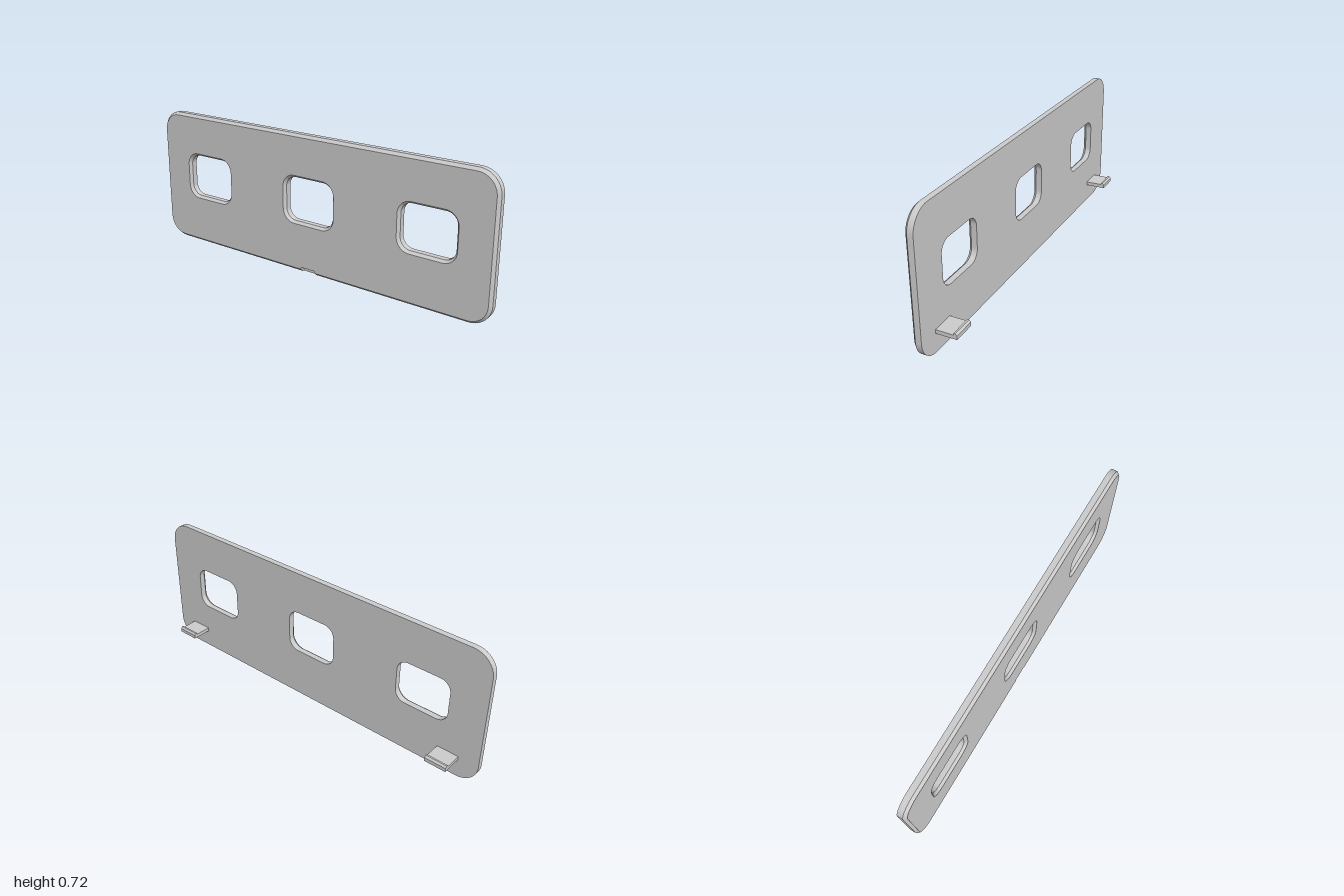
import * as THREE from 'three';
import { mergeGeometries, toCreasedNormals } from 'three/addons/utils/BufferGeometryUtils.js';

const BACK = 0.031, NOTCH = 0.053, EDGE = 0.061, FRONT = 0.076;
const HEIGHT = 0.722, MID = 0.361, CHAMFER = 0.014;

// Counter-clockwise rounded rectangle, starting at the bottom left corner's end
function roundedRect(cx, cy, hw, hh, r, steps = 10) {
  const points = [];
  const corners = [[1, -1], [1, 1], [-1, 1], [-1, -1]];
  corners.forEach(([sx, sy], c) => {
    for (let i = 0; i <= steps; i++) {
      const a = (c - 1 + i / steps) * Math.PI / 2;
      points.push(new THREE.Vector2(
        cx + sx * (hw - r) + r * Math.cos(a),
        cy + sy * (hh - r) + r * Math.sin(a)));
    }
  });
  return points;
}

// Plate outline with a small notch in the middle of the bottom edge
function outline(inset, notchTop) {
  const notch = [[-0.043, inset], [-0.043, notchTop], [0.043, notchTop], [0.043, inset]];
  return [
    ...notch.map(([x, y]) => new THREE.Vector2(x, y)),
    ...roundedRect(0, MID, 1 - inset, MID - inset, 0.11 - inset),
  ];
}

// Window outline, grown by the front chamfer
const windowLoop = (x, grow) =>
  roundedRect(x, 0.383, 0.144 + grow, 0.115 + grow, 0.058 + grow).reverse();

// Wall between two matching loops at two depths
function loft(a, za, b, zb) {
  const pos = [];
  for (let i = 0; i < a.length; i++) {
    const j = (i + 1) % a.length;
    if (a[i].distanceTo(a[j]) < 1e-6 && b[i].distanceTo(b[j]) < 1e-6) continue;
    const p = [a[i].x, a[i].y, za], q = [a[j].x, a[j].y, za];
    const r = [b[j].x, b[j].y, zb], s = [b[i].x, b[i].y, zb];
    pos.push(...p, ...q, ...r, ...p, ...r, ...s);
  }
  const g = new THREE.BufferGeometry();
  g.setAttribute('position', new THREE.Float32BufferAttribute(pos, 3));
  return toCreasedNormals(g, 0.6);
}

// Flat face with the window openings
function face(loop, holes) {
  const shape = new THREE.Shape(loop);
  shape.holes = holes.map(h => new THREE.Path(h));
  const g = new THREE.ShapeGeometry(shape).toNonIndexed();
  g.deleteAttribute('uv');
  return g;
}

function plateGeometry() {
  const xs = [-0.668, 0, 0.668];
  const inner = xs.map(x => windowLoop(x, 0));
  const outer = xs.map(x => windowLoop(x, 0.012));
  const plain = outline(0, 0), notched = outline(0, 0.025), front = outline(CHAMFER, 0.025);
  const notchWall = new THREE.PlaneGeometry(0.086, 0.025).toNonIndexed();
  notchWall.deleteAttribute('uv');
  const parts = [
    face(roundedRect(0, MID, 1, MID, 0.11), inner).rotateY(Math.PI).translate(0, 0, BACK),
    face(front, outer).translate(0, 0, FRONT),
    loft(plain, BACK, plain, NOTCH),
    loft(notched, NOTCH, notched, EDGE),
    loft(notched, EDGE, front, FRONT),
    notchWall.translate(0, 0.0125, NOTCH),
  ];
  xs.forEach((x, i) => {
    parts.push(loft(inner[i], BACK, inner[i], EDGE), loft(inner[i], EDGE, outer[i], FRONT));
  });
  return mergeGeometries(parts);
}

// Snap tab profile: distance behind the centre plane, height
function clipGeometry(width) {
  const profile = [[-BACK, 0.097], [0.076, 0.097], [0.076, 0.117], [0.067, 0.126],
    [0.058, 0.126], [0.058, 0.117], [-BACK, 0.117]];
  const shape = new THREE.Shape(profile.map(([u, y]) => new THREE.Vector2(u, y)));
  return new THREE.ExtrudeGeometry(shape, { depth: width, bevelEnabled: false })
    .translate(0, 0, -width / 2).rotateY(Math.PI / 2);
}

export function createModel() {
  const group = new THREE.Group();
  group.name = 'coverPlate';
  const material = new THREE.MeshStandardMaterial({ color: 0xcccccc });

  const plate = new THREE.Mesh(plateGeometry(), material);
  plate.name = 'plate';
  group.add(plate);

  // Two snap tabs on the back
  const clip = clipGeometry(0.115);
  for (const side of [1, -1]) {
    const mesh = new THREE.Mesh(clip, material);
    mesh.name = side > 0 ? 'leftClip' : 'rightClip';
    mesh.position.x = side * 0.836;
    group.add(mesh);
  }
  return group;
}
